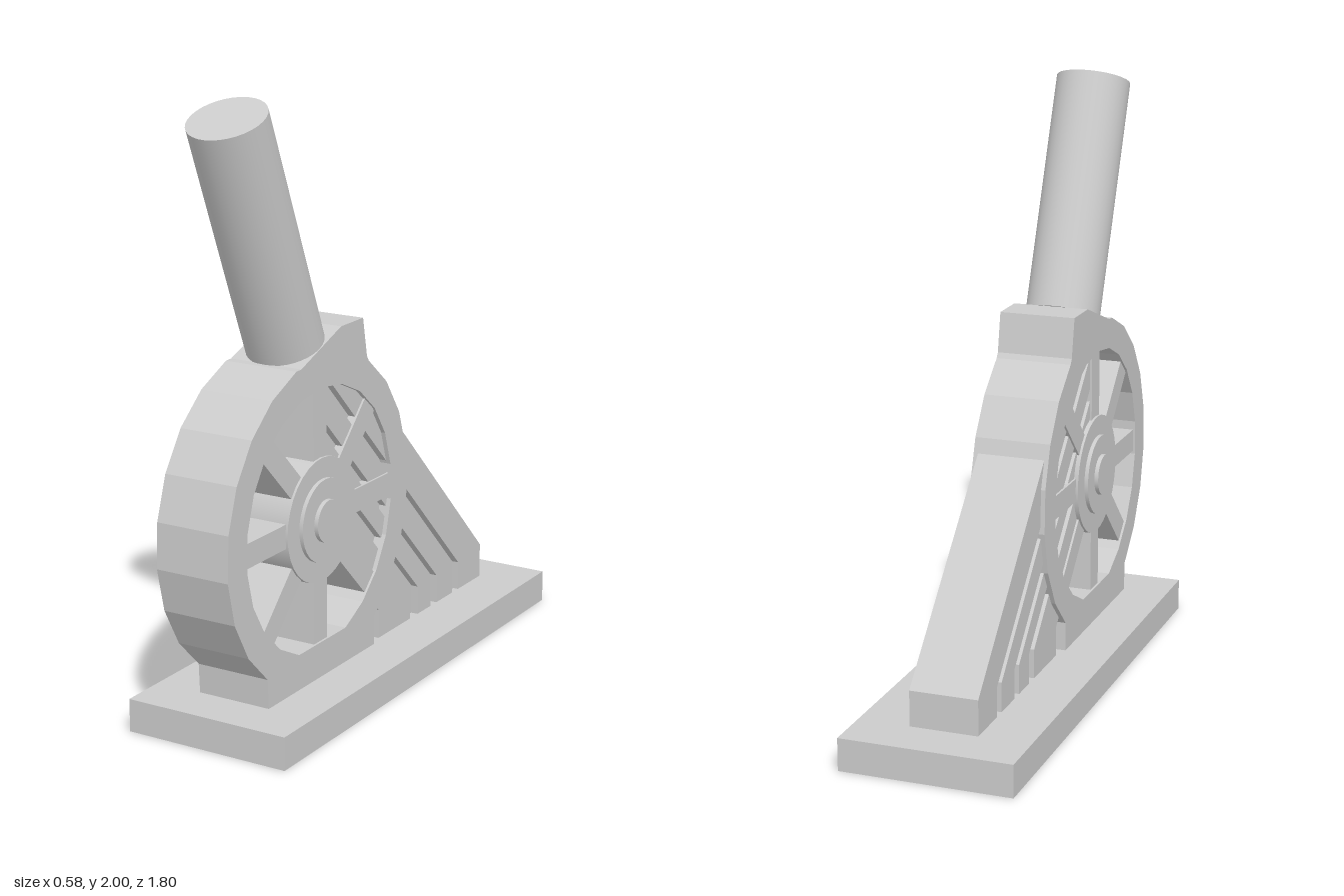
import * as THREE from 'three';

const CY = 0.64, CZ = 0.36; // wheel centre

export function createModel() {
  const model = new THREE.Group();
  const mat = new THREE.MeshStandardMaterial({ color: 0xcccccc, flatShading: true });
  const smooth = new THREE.MeshStandardMaterial({ color: 0xcccccc });

  const add = (name, geo, x = 0, y = 0, z = 0, material = mat) => {
    const mesh = new THREE.Mesh(geo, material);
    mesh.name = name;
    mesh.position.set(x, y, z);
    model.add(mesh);
    return mesh;
  };
  const vec = (pts) => pts.map(([z, y]) => new THREE.Vector2(z, y));
  // Extrudes a side outline given as [z, y] points symmetrically across x
  const slab = (name, pts, half, hole) => {
    const shape = new THREE.Shape(vec(pts));
    if (hole) shape.holes.push(new THREE.Path(vec(hole)));
    const geo = new THREE.ExtrudeGeometry(shape, { depth: half * 2, bevelEnabled: false });
    geo.translate(0, 0, -half).rotateY(-Math.PI / 2);
    return add(name, geo);
  };
  const arc = (r, from, to, n) => Array.from({ length: n + 1 }, (_, i) => {
    const a = THREE.MathUtils.degToRad(from + (to - from) * i / n);
    return [CZ + r * Math.cos(a), CY + r * Math.sin(a)];
  });

  // Ground plate
  add('base', new THREE.BoxGeometry(0.58, 0.11, 1.74), 0, 0.055, -0.03);

  // Wheel rim with foot below and saddle above, as one outline
  const outline = [
    [0.035, 0.11], [0.68, 0.11],
    ...arc(0.54, -53, 74, 8),
    [0.48, 1.16], [0.245, 1.247], [0.11, 1.247], [0.085, 1.115],
    ...arc(0.54, 122, 233, 7),
  ];
  slab('wheelFrame', outline, 0.13, arc(0.435, -71, 251, 20));

  // Spokes
  for (let i = 0; i < 8; i++) {
    const a = i * Math.PI / 4, r = 0.31;
    const spoke = add('spoke', new THREE.BoxGeometry(0.244, 0.27, 0.08),
      0, CY + r * Math.cos(a), CZ + r * Math.sin(a));
    spoke.rotation.x = a;
  }

  // Stepped hub
  for (const [r, half] of [[0.205, 0.13], [0.137, 0.143], [0.07, 0.157]]) {
    const geo = new THREE.CylinderGeometry(r, r, half * 2, 32).rotateZ(Math.PI / 2);
    add('hub', geo, 0, CY, CZ, smooth);
  }

  // Sloping rear support: raised bands over a narrower core
  const top = 1.1;
  const band = (name, back, front, half, rise = 0.21) => {
    const end = (z, h) => Math.min(0.33, z + top - h);
    const zb = end(back, rise), zf = end(front, 0.21);
    const pts = [[back, 0.11], [back, rise], [zb, rise + zb - back]];
    if (zb < 0.33) pts.push([0.33, top]);
    pts.push([zf, 0.21 + zf - front], [front, 0.21], [front, 0.11]);
    slab(name, pts.reverse(), half);
  };
  band('supportCore', -0.73, -0.02, 0.09, 0.225);
  band('supportBand', -0.74, -0.578, 0.115, 0.23);
  band('supportBand', -0.536, -0.42, 0.115);
  band('supportBand', -0.377, -0.286, 0.115);
  band('supportBand', -0.235, -0.02, 0.115);

  // Tilted barrel
  const foot = new THREE.Vector3(0, 1.199, 0.369);
  const tip = new THREE.Vector3(0, 1.952, 0.679);
  const axis = tip.clone().sub(foot);
  const barrel = add('barrel', new THREE.CylinderGeometry(0.127, 0.127, axis.length(), 32), 0, 0, 0, smooth);
  barrel.position.copy(foot).add(tip).multiplyScalar(0.5);
  barrel.quaternion.setFromUnitVectors(new THREE.Vector3(0, 1, 0), axis.normalize());

  return model;
}
